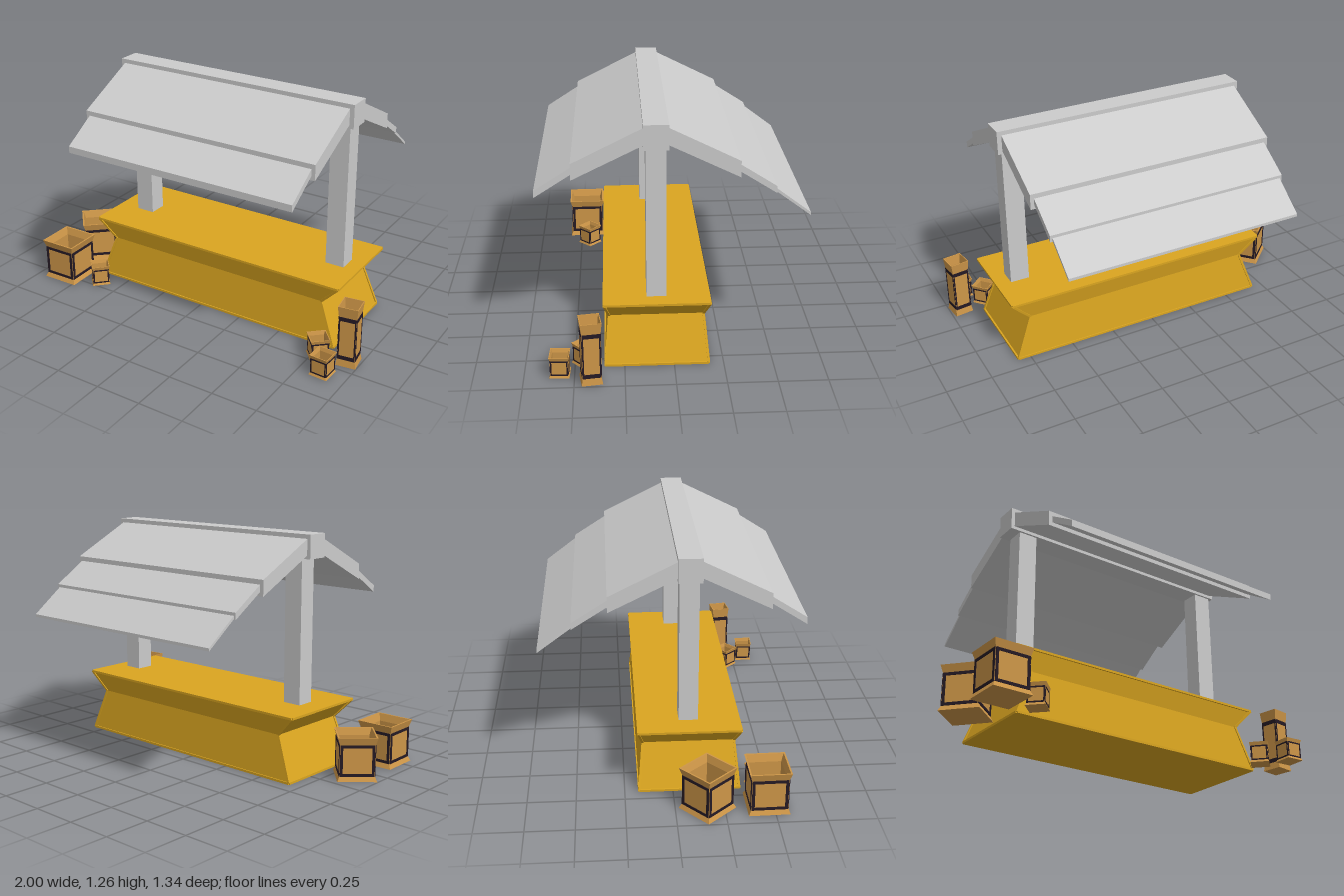
import * as THREE from 'three';

const mat = (color) => new THREE.MeshStandardMaterial({ color, flatShading: true });
const GREY = mat(0xcccccc), GOLD = mat(0xdaa520), WOOD = mat(0xcd9648), DARK = mat(0x251a24);

function add(parent, name, geometry, material) {
  const mesh = new THREE.Mesh(geometry, material);
  mesh.name = name;
  parent.add(mesh);
  return mesh;
}

// Box given by its limits on each axis
function block(parent, name, [x0, x1], [y0, y1], [z0, z1], material) {
  const mesh = add(parent, name, new THREE.BoxGeometry(x1 - x0, y1 - y0, z1 - z0), material);
  mesh.position.set((x0 + x1) / 2, (y0 + y1) / 2, (z0 + z1) / 2);
}

// Square bar between two points
function bar(parent, name, a, b, r, material) {
  const dir = b.clone().sub(a);
  const mesh = add(parent, name, new THREE.BoxGeometry(r * 2, dir.length(), r * 2), material);
  mesh.position.copy(a).add(b).multiplyScalar(0.5);
  mesh.quaternion.setFromUnitVectors(new THREE.Vector3(0, 1, 0), dir.normalize());
}

// Roof board: a side profile of [z, y] corners extruded along x
function roofBoard(parent, name, profile, x0, x1) {
  const shape = new THREE.Shape(profile.map(([z, y]) => new THREE.Vector2(-z, y)));
  const geo = new THREE.ExtrudeGeometry(shape, { depth: x1 - x0, bevelEnabled: false });
  geo.rotateY(Math.PI / 2).translate(x0, 0, 0);
  add(parent, name, geo, GREY);
}

// Counter with a pinched waist and thin edge trim
function makeCounter() {
  const g = new THREE.Group();
  g.name = 'counter';
  g.position.set(0.067, 0, 0.086);
  const levels = [[0.003, 0.757, 0.267], [0.245, 0.667, 0.244], [0.36, 0.77, 0.268]];
  const inset = 0.005;
  const geo = new THREE.BoxGeometry(2, 2, 2, 1, 2, 1);
  const p = geo.attributes.position;
  for (let i = 0; i < p.count; i++) {
    const [y, hx, hz] = levels[Math.round(p.getY(i)) + 1];
    p.setXYZ(i, p.getX(i) * (hx - inset), y, p.getZ(i) * (hz - inset));
  }
  add(g, 'counterBody', geo, GOLD);

  const r = 0.006;
  const rings = levels.map(([y, hx, hz], i) => {
    const yy = y + [r, 0, -r][i];
    return [[1, 1], [-1, 1], [-1, -1], [1, -1]].map(
      ([sx, sz]) => new THREE.Vector3(sx * (hx - r), yy, sz * (hz - r)));
  });
  for (let k = 0; k < 4; k++) {
    bar(g, 'cornerTrim', rings[0][k], rings[1][k], r, GOLD);
    bar(g, 'cornerTrim', rings[1][k], rings[2][k], r, GOLD);
    for (const ring of [rings[0], rings[2]]) bar(g, 'edgeTrim', ring[k], ring[(k + 1) % 4], r, GOLD);
  }
  return g;
}

// Open crate with flared rims and a dark frame on each side
function makeCrate(name, x, z, size, height, degrees) {
  const g = new THREE.Group();
  g.name = name;
  g.position.set(x, 0.006, z);
  g.rotation.y = THREE.MathUtils.degToRad(degrees);
  const h = size / 2, H = height - 0.006;
  const profile = [
    [0, 0], [1, 0], [0.89, 0.11], [0.89, 0.83], [1, 1],
    [0.92, 1], [0.8, 0.83], [0.8, 0.1], [0, 0.1],
  ].map(([px, py]) => new THREE.Vector2(px * h * Math.SQRT2, py * H));
  add(g, 'crateBody', new THREE.LatheGeometry(profile, 4, Math.PI / 4), WOOD);

  const w = 0.87 * h, y0 = 0.11 * H, y1 = 0.83 * H, bx = 0.07 * size, by = 0.065 * H;
  const rect = (T, a, b, c, d) => new T([[a, b], [c, b], [c, d], [a, d]].map((q) => new THREE.Vector2(...q)));
  const shape = rect(THREE.Shape, -w, y0, w, y1);
  shape.holes.push(rect(THREE.Path, -w + bx, y0 + by, w - bx, y1 - by));
  const frame = new THREE.ExtrudeGeometry(shape, { depth: 0.02 * size, bevelEnabled: false });
  frame.translate(0, 0, 0.88 * h);
  for (let k = 0; k < 4; k++) add(g, 'crateFrame', frame, DARK).rotation.y = k * Math.PI / 2;
  return g;
}

export function createModel() {
  const model = new THREE.Group();
  model.name = 'marketStall';
  model.add(makeCounter());

  // Posts and ridge beam
  block(model, 'rightPost', [-0.58, -0.475], [0.355, 1.15], [0.036, 0.136], GREY);
  block(model, 'leftPost', [0.65, 0.755], [0.355, 1.15], [0.036, 0.136], GREY);
  block(model, 'ridgeBeam', [-0.64, 0.777], [1.138, 1.264], [0.025, 0.147], GREY);

  // Overlapping roof boards, mirrored front and back about the ridge
  const ridgeZ = 0.086;
  const upper = [[0.06, 1.156], [0.405, 0.987], [0.405, 1.07], [0.06, 1.242]];
  const middle = [[0.4, 1.012], [0.584, 0.894], [0.584, 0.93], [0.4, 1.048]];
  const lower = [[0.58, 0.9], [0.757, 0.768], [0.757, 0.783], [0.58, 0.917]];
  const side = (s, board) => board.map(([d, y]) => [ridgeZ + s * d, y]);
  for (const [s, label] of [[1, 'front'], [-1, 'back']]) {
    roofBoard(model, label + 'UpperRoof', side(s, upper), -0.62, 0.753);
    roofBoard(model, label + 'MiddleRoof', side(s, middle), -0.6, 0.733);
  }
  roofBoard(model, 'backLowerRoof', side(-1, lower), -0.588, 0.72);

  // Crates around both ends
  const crates = [
    ['largeCrateBack', -0.855, 0.163, 0.206, 0.24, 42],
    ['largeCrateFront', -0.837, 0.465, 0.21, 0.24, 1],
    ['smallCrateRight', -0.632, 0.447, 0.1, 0.12, 45],
    ['smallCrateLeft', 0.782, 0.447, 0.1, 0.12, 42],
    ['smallCrateFront', 0.873, 0.572, 0.1, 0.12, -3],
    ['tallCrate', 0.94, 0.417, 0.105, 0.345, 8],
  ];
  for (const c of crates) model.add(makeCrate(...c));
  return model;
}
